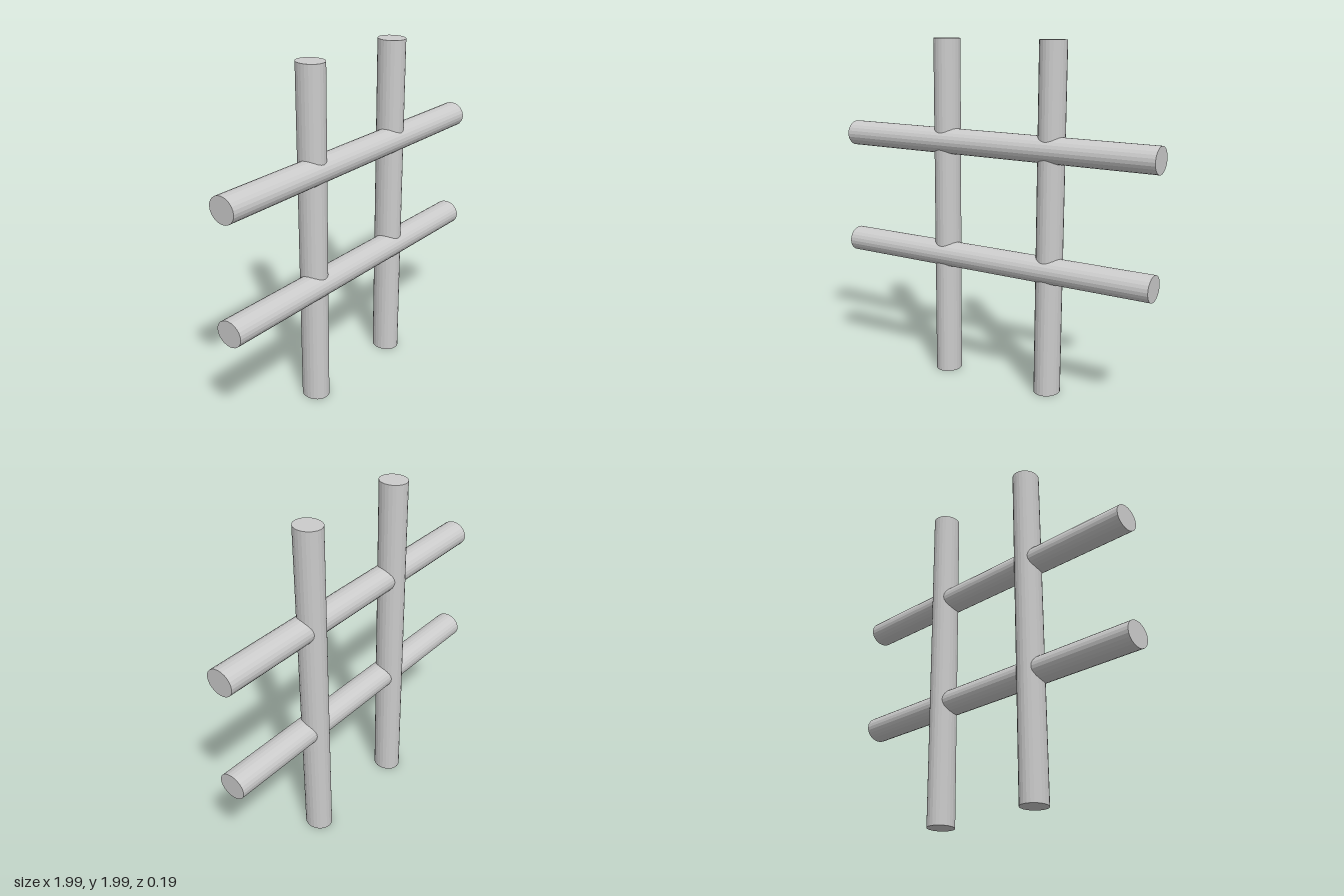
import * as THREE from 'three';

const material = new THREE.MeshStandardMaterial({ color: 0xcccccc, flatShading: true });

// A slightly oval rod between two points, a little deeper in z than it is wide
function rod(name, from, to) {
  const a = new THREE.Vector3(...from);
  const b = new THREE.Vector3(...to);
  const geometry = new THREE.CylinderGeometry(1, 1, a.distanceTo(b), 24);
  geometry.scale(0.074, 1, 0.083);
  const mesh = new THREE.Mesh(geometry, material);
  mesh.name = name;
  mesh.position.copy(a).add(b).multiplyScalar(0.5);
  mesh.rotation.z = Math.atan2(a.x - b.x, b.y - a.y);
  return mesh;
}

export function createModel() {
  const group = new THREE.Group();
  group.name = 'crossedRods';

  // Upright rods, leaning very slightly and set back a little
  group.add(rod('rightUpright', [-0.327, 0.005, -0.012], [-0.317, 1.99, -0.012]));
  group.add(rod('leftUpright', [0.355, 0.005, -0.012], [0.365, 1.988, -0.012]));

  // Crossbars, falling slightly towards the model's left and set forward
  group.add(rod('upperCrossbar', [-0.988, 1.412, 0.009], [0.995, 1.402, 0.009]));
  group.add(rod('lowerCrossbar', [-0.997, 0.739, 0.012], [0.985, 0.729, 0.012]));

  return group;
}
